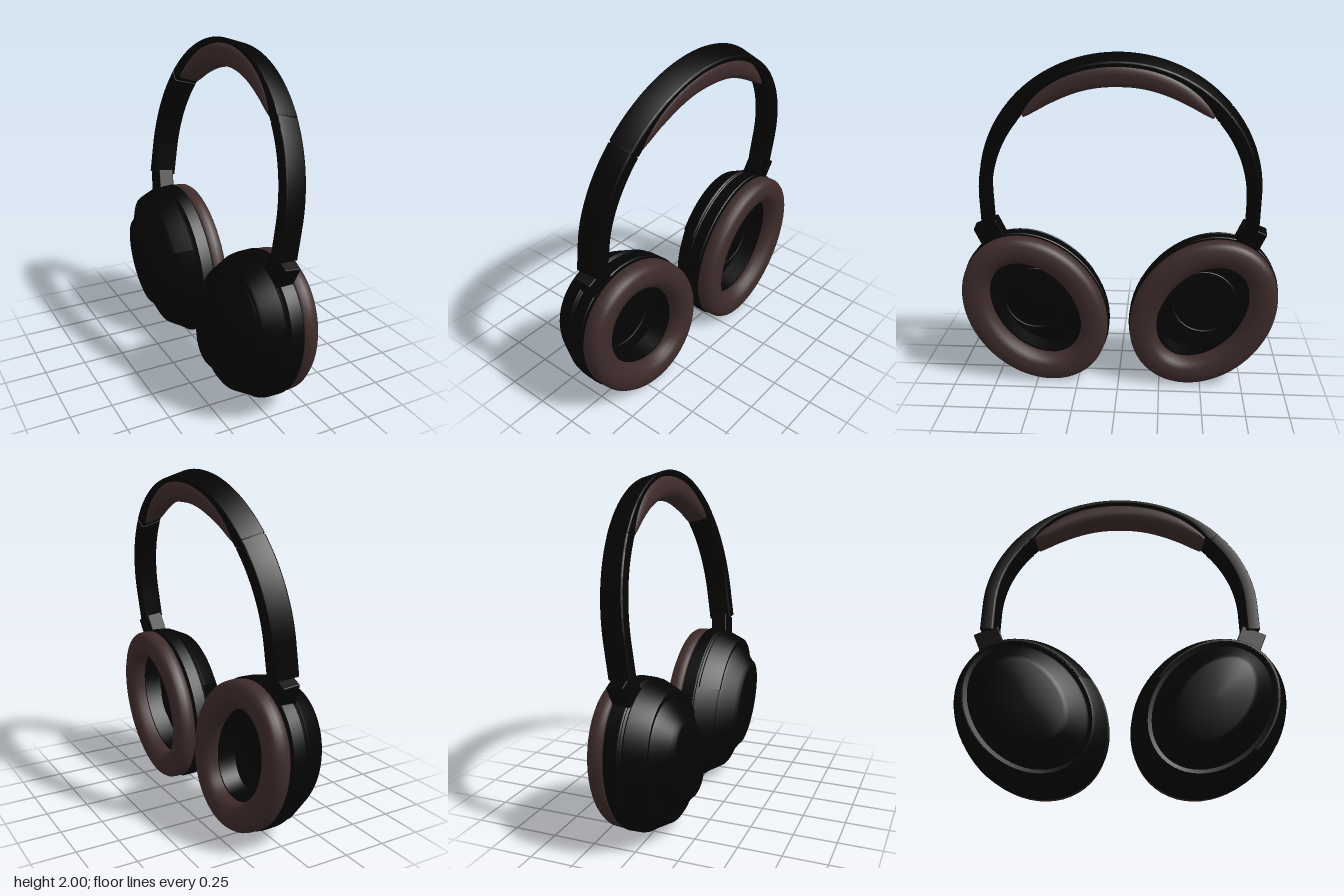
import * as THREE from 'three';
import { toCreasedNormals } from 'three/addons/utils/BufferGeometryUtils.js';
import { RoundedBoxGeometry } from 'three/addons/geometries/RoundedBoxGeometry.js';

const black = new THREE.MeshStandardMaterial({ color: 0x040404 });
black.name = 'matte black';
const brown = new THREE.MeshStandardMaterial({ color: 0x3e2b2b });
brown.name = 'brown leather';

function part(name, geometry, material) {
  const mesh = new THREE.Mesh(geometry, material);
  mesh.name = name;
  return mesh;
}

// Turned shape with its axis along x, over an arc of half-angle half about the
// top; stretch turns the circle into an oval whose rings stay a constant
// distance apart, drifting upwards behind x = 0.
function turned(profile, stretch, crease, half = Math.PI) {
  const g = new THREE.LatheGeometry(
    profile.map(([r, x]) => new THREE.Vector2(r, x)), 56, Math.PI * 1.5 - half, half * 2);
  g.rotateZ(-Math.PI / 2);
  const p = g.attributes.position;
  for (let i = 0; i < p.count && stretch; i++) {
    const y = p.getY(i), z = p.getZ(i), r = Math.hypot(y, z);
    const k = Math.min(1, r / 0.2) / Math.max(r, 1e-6);
    p.setY(i, y * (1 + 0.05 * k) + 0.022 * Math.max(0, -p.getX(i) / 0.235));
    p.setZ(i, z * (1 - 0.045 * k));
  }
  return toCreasedNormals(g, crease);
}

// Radial direction and straight drop on the band: an arc, then straight down.
function bandFrame(s) {
  const a = Math.min(s, Math.PI / 2), drop = Math.max(0, s - Math.PI / 2);
  return { c: Math.cos(a), n: Math.sin(a), drop };
}

// Sweep a rounded, slightly slanted rectangle along the band; size(s) gives
// least and greatest radius, width and corner radius.
const SLANT = 0.025;
function bandSweep(s0, s1, steps, size, crease = 0.6) {
  const pos = [], idx = [], corner = 4, ring = 4 * (corner + 1);
  for (let i = 0; i <= steps; i++) {
    const s = s0 + (s1 - s0) * i / steps;
    const f = bandFrame(s), [ri, ro, w, round] = size(s);
    const thick = ro - ri - SLANT, rad = Math.min(round, thick * 0.49, w * 0.49);
    for (let q = 0; q < 4; q++) {
      const sx = q === 0 || q === 3 ? 1 : -1, sr = q < 2 ? 1 : -1;
      for (let k = 0; k <= corner; k++) {
        const a = (q + k / corner) * Math.PI / 2;
        const x = sx * (w / 2 - rad) + rad * Math.cos(a);
        const r = (ri + ro) / 2 + sr * (thick / 2 - rad) + rad * Math.sin(a) - SLANT * x / w;
        pos.push(x, r * f.c - f.drop, r * f.n);
      }
    }
  }
  for (let i = 0; i < steps; i++) {
    for (let j = 0; j < ring; j++) {
      const k = (j + 1) % ring;
      const a = i * ring + j, b = i * ring + k, c = b + ring, d = a + ring;
      idx.push(a, b, c, a, c, d);
    }
  }
  const last = steps * ring;
  for (let j = 1; j < ring - 1; j++) {
    idx.push(0, j + 1, j, last, last + j, last + j + 1);
  }
  const g = new THREE.BufferGeometry();
  g.setAttribute('position', new THREE.Float32BufferAttribute(pos, 3));
  g.setIndex(idx);
  return g.index && toCreasedNormals(g, crease);
}

// Mirror a geometry front to back, restoring the corner order.
function mirrored(geometry) {
  const g = geometry.clone().scale(1, 1, -1);
  for (const a of [g.attributes.position, g.attributes.normal]) {
    for (let i = 0; i < a.count; i += 3) {
      const v = [a.getX(i), a.getY(i), a.getZ(i)];
      a.setXYZ(i, a.getX(i + 1), a.getY(i + 1), a.getZ(i + 1));
      a.setXYZ(i + 1, ...v);
    }
  }
  return g;
}

function createEarCup(side) {
  const cup = new THREE.Group();
  cup.name = side > 0 ? 'leftEarCup' : 'rightEarCup';
  // Stepped shell with a hollow inside
  cup.add(part('shell', turned([
    [0, -0.235], [0.215, -0.235], [0.232, -0.228], [0.25, -0.21], [0.335, -0.145], [0.345, -0.132],
    [0.368, -0.14], [0.382, -0.13], [0.437, -0.022], [0.447, -0.01], [0.443, -0.004], [0.45, 0.002],
    [0.452, 0.075], [0.447, 0.08], [0.41, 0.08], [0.41, 0.1], [0.275, 0.1], [0.262, -0.005], [0, -0.005],
  ], true, 0.5), black));
  // Raised yoke wrapping the upper half of the shell
  cup.add(part('yoke', turned([
    [0.365, -0.132], [0.372, -0.143], [0.384, -0.141], [0.392, -0.13], [0.444, -0.028], [0.438, -0.018],
  ], true, 0.6, 1.7), black));
  // Soft ring cushion with a fairly flat face
  cup.add(part('earCushion', turned([
    [0.29, 0.09], [0.435, 0.088], [0.443, 0.096], [0.445, 0.13], [0.442, 0.158], [0.43, 0.176],
    [0.405, 0.188], [0.37, 0.194], [0.335, 0.191], [0.305, 0.177], [0.284, 0.15], [0.28, 0.11], [0.29, 0.09],
  ], true, 1.2), brown));
  // Round speaker plate
  const speaker = part('speakerPlate', turned([
    [0.2, -0.01], [0.2, 0.006], [0.196, 0.01], [0.19, 0.006], [0, 0.006],
  ], false, 0.5), black);
  speaker.position.y = 0.02;
  cup.add(speaker);
  cup.position.set(0, 0.466, side * 0.506);
  cup.rotation.x = side * 0.68;
  return cup;
}

function createHeadband() {
  const band = new THREE.Group();
  band.name = 'headband';
  const end = 0.86;
  band.add(part('topBand', bandSweep(-end, end, 48, (s) =>
    [0.78 - 0.047 * Math.min(1, Math.abs(s) / 0.82) ** 4, 0.835, 0.14, 0.01]), black));
  // Cushion swelling under the top, closing towards its blunt ends
  band.add(part('headCushion', bandSweep(-0.81, 0.81, 48, (s) => {
    const t = Math.abs(s / 0.81);
    return [0.656 + 0.015 * t + 0.045 * t ** 6, 0.81 - 0.05 * t ** 4, 0.137 - 0.02 * t ** 8, 0.045];
  }, 1), brown));
  // Side arms with a narrow seam below the top band
  const pieces = {
    Seam: bandSweep(end - 0.02, end + 0.04, 4, () => [0.735, 0.831, 0.13, 0.01]),
    Arm: bandSweep(end + 0.012, Math.PI / 2 + 0.18, 32, () => [0.73, 0.835, 0.14, 0.012]),
  };
  for (const [name, geometry] of Object.entries(pieces)) {
    band.add(part('left' + name, geometry, black));
    band.add(part('right' + name, mirrored(geometry), black));
  }
  band.position.set(0.063, 1.165, 0);
  band.rotation.z = -0.13;
  return band;
}

export function createModel() {
  const model = new THREE.Group();
  model.name = 'headphones';
  model.add(createHeadband());
  for (const side of [1, -1]) {
    model.add(createEarCup(side));
    // Tilted hinge joining band and cup
    const hinge = part(side > 0 ? 'leftHinge' : 'rightHinge',
      new RoundedBoxGeometry(0.1, 0.13, 0.15, 2, 0.006), black);
    hinge.position.set(0.036, 0.93, side * 0.775);
    hinge.rotation.set(side * 0.4, 0, -0.13);
    model.add(hinge);
  }
  return model;
}
